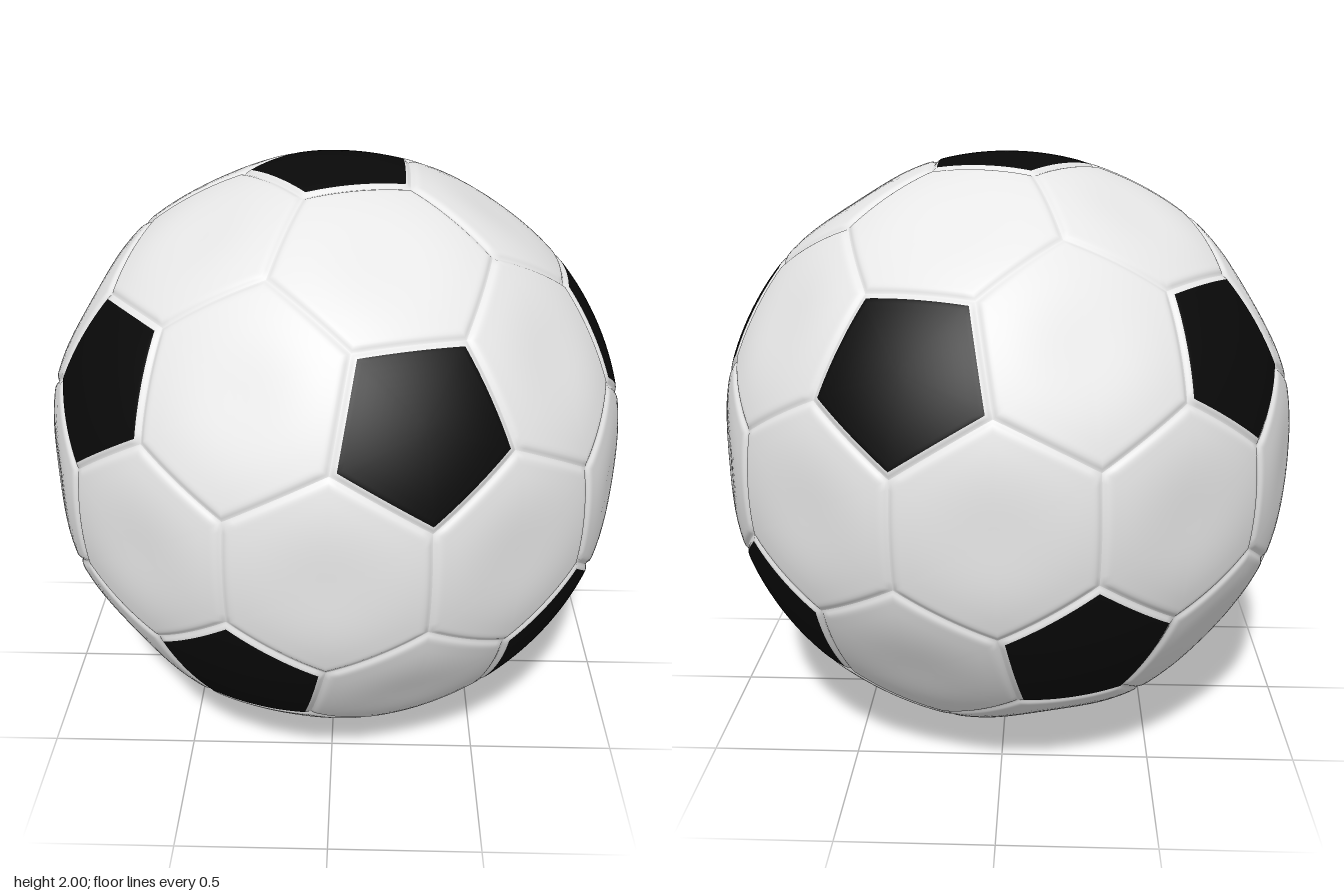
import * as THREE from 'three';

const white = new THREE.MeshStandardMaterial({ color: 0xe7e7e7 });
white.name = 'whiteLeather';
const black = new THREE.MeshStandardMaterial({ color: 0x090909 });
black.name = 'blackLeather';

const deg = Math.PI / 180;
const EDGE_STEPS = 12;
const RIM = 0.02; // pale rim between a black patch and its seam

// Pentagon centres: the twelve corners of an icosahedron standing on a corner
const pentCentres = [new THREE.Vector3(0, 1, 0), new THREE.Vector3(0, -1, 0)];
const h = 1 / Math.sqrt(5);
for (let k = 0; k < 10; k++) {
  const a = 36 * k * deg;
  pentCentres.push(new THREE.Vector3(2 * h * Math.cos(a), k % 2 ? -h : h, 2 * h * Math.sin(a)));
}
const near = (a, b) => a.dot(b) > 0.4 && a.dot(b) < 0.5;

// Neighbouring pairs give the hexagons, triples give the three-way seam joints
const pairs = [];
const joints = [];
pentCentres.forEach((a, i) => pentCentres.forEach((b, j) => {
  if (j <= i || !near(a, b)) return;
  pairs.push({ a, b, mid: a.clone().add(b).normalize() });
  pentCentres.forEach((c, k) => {
    if (k > j && near(a, c) && near(b, c)) joints.push(a.clone().add(b).add(c).normalize());
  });
}));

// Corner of a pentagon: turned from its centre towards a joint
function pentCorner(centre, joint) {
  const side = joint.clone().addScaledVector(centre, -joint.dot(centre)).normalize();
  const angle = 17.4 * deg;
  return centre.clone().multiplyScalar(Math.cos(angle)).addScaledVector(side, Math.sin(angle));
}

// Ball radius: slightly flattened over each hexagon, with a groove at the seams
function radius(dir, seamDistance) {
  let angle = Math.PI;
  for (const p of pairs) angle = Math.min(angle, dir.angleTo(p.mid));
  return 1 - 0.022 * Math.exp(-((angle / (11 * deg)) ** 2))
    - 0.009 * Math.exp(-((seamDistance / 0.012) ** 2));
}

// One panel: rings growing from its centre to its seam
function panel(centre, corners, inradius, patched) {
  const u = corners[0].clone().addScaledVector(centre, -corners[0].dot(centre)).normalize();
  const v = centre.clone().cross(u);
  const turn = (p) => Math.atan2(p.dot(v), p.dot(u));
  const sorted = [...corners].sort((p, q) => turn(p) - turn(q));

  const border = [];
  sorted.forEach((p, i) => {
    const q = sorted[(i + 1) % sorted.length];
    for (let s = 0; s < EDGE_STEPS; s++) border.push(p.clone().lerp(q, s / EDGE_STEPS).normalize());
  });
  const n = border.length;

  const distances = [];
  for (let i = 1; i <= 8; i++) distances.push(inradius + (0.035 - inradius) * i / 8);
  distances.push(0.027, RIM, 0.014, 0.009, 0.004, 0);

  const positions = centre.clone().multiplyScalar(radius(centre, inradius)).toArray();
  const indices = [];
  let patchEnd = 0;
  distances.forEach((d, ring) => {
    const start = 1 + ring * n;
    for (let i = 0; i < n; i++) {
      const dir = centre.clone().lerp(border[i], 1 - d / inradius).normalize();
      positions.push(...dir.multiplyScalar(radius(dir, d)).toArray());
      const j = (i + 1) % n;
      if (ring === 0) indices.push(0, start + i, start + j);
      else {
        const inner = start - n;
        indices.push(inner + i, start + i, start + j, inner + i, start + j, inner + j);
      }
    }
    if (d === RIM) patchEnd = indices.length;
  });

  const geometry = new THREE.BufferGeometry();
  geometry.setAttribute('position', new THREE.Float32BufferAttribute(positions, 3));
  geometry.setIndex(indices);
  geometry.computeVertexNormals();
  if (!patched) return new THREE.Mesh(geometry, white);
  geometry.addGroup(0, patchEnd, 0);
  geometry.addGroup(patchEnd, indices.length - patchEnd, 1);
  return new THREE.Mesh(geometry, [black, white]);
}

export function createModel() {
  const ball = new THREE.Group();
  ball.name = 'ball';

  // Black pentagon panels
  pentCentres.forEach((c, i) => {
    const corners = joints.filter((j) => j.dot(c) > 0.75).map((j) => pentCorner(c, j));
    const mesh = panel(c, corners, 0.248, true);
    mesh.name = `pentagonPanel${i + 1}`;
    ball.add(mesh);
  });

  // White hexagon panels between neighbouring pentagons
  pairs.forEach(({ a, b, mid }, i) => {
    const ends = joints.filter((j) => j.dot(a) > 0.75 && j.dot(b) > 0.75);
    const corners = ends.flatMap((j) => [j, pentCorner(a, j), pentCorner(b, j)]);
    const mesh = panel(mid, corners, 0.29, false);
    mesh.name = `hexagonPanel${i + 1}`;
    ball.add(mesh);
  });

  ball.position.y = 1;
  const model = new THREE.Group();
  model.name = 'football';
  model.add(ball);
  return model;
}
